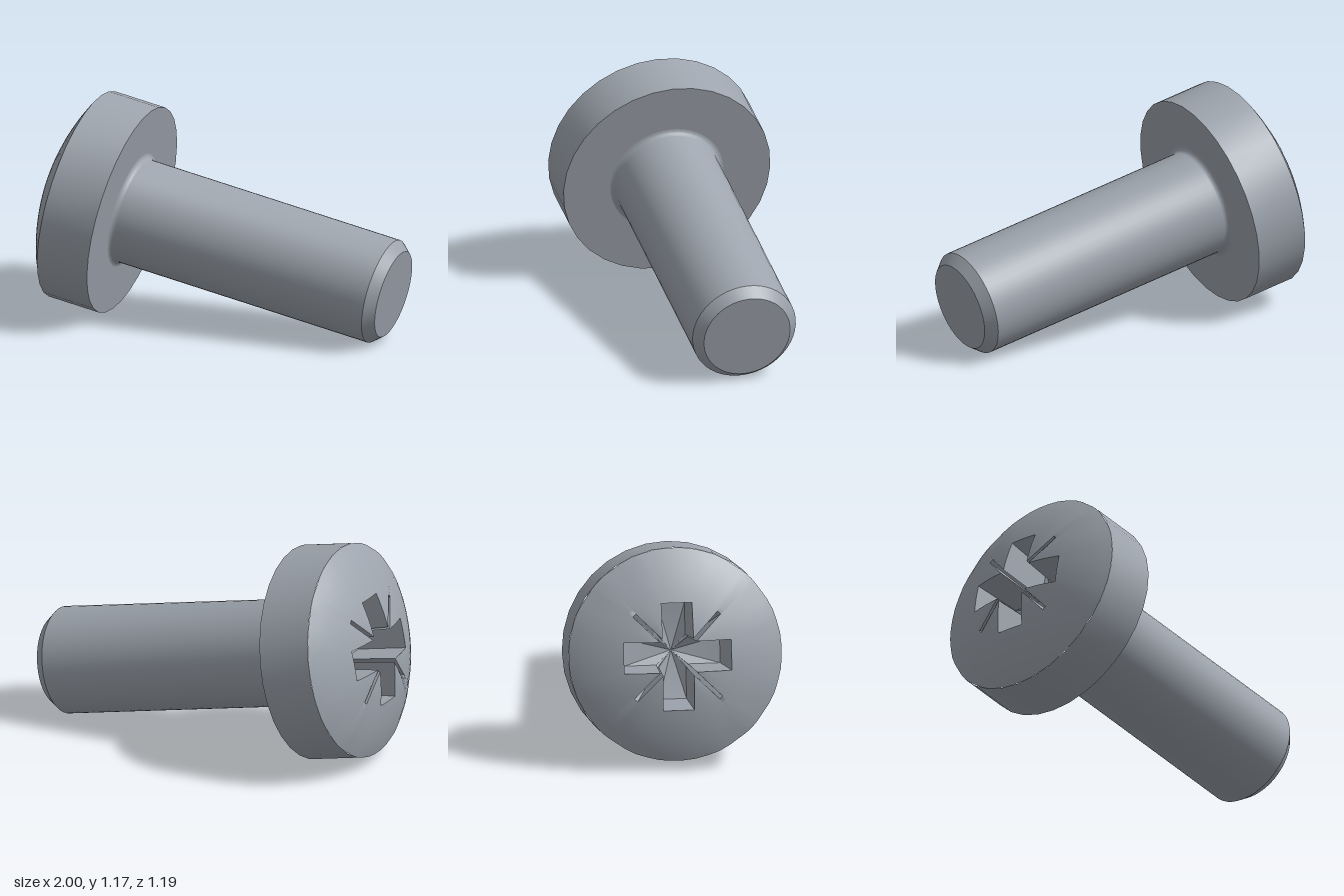
import * as THREE from 'three';
import { toCreasedNormals } from 'three/addons/utils/BufferGeometryUtils.js';

const steel = new THREE.MeshStandardMaterial({ color: 0x9da4ad });
steel.name = 'steel';

// Lengths along the screw's axis, from the tip (0) to the top of the head
const SHAFT_R = 0.284, HEAD_R = 0.569, HEAD_SIDES = 32;
const UNDER = 1.52, RIM = 1.81, DOME = 0.157, FLOOR = 1.66;
const DOME_R = (HEAD_R ** 2 + DOME ** 2) / (2 * DOME);
const domeZ = (r) => RIM + DOME - DOME_R + Math.sqrt(DOME_R ** 2 - r * r);

function mesh(name, geometry) {
  const m = new THREE.Mesh(geometry, steel);
  m.name = name;
  return m;
}

// Turned part: profile of [radius, position] pairs around z
function turned(profile, sides) {
  const g = new THREE.LatheGeometry(profile.map(([r, z]) => new THREE.Vector2(r, z)), sides);
  return toCreasedNormals(g.rotateX(Math.PI / 2), 0.6);
}

// Distance from the axis to the many-sided rim of the head at an angle
function rimRadius(angle) {
  const step = 2 * Math.PI / HEAD_SIDES;
  const a = (angle + 2 * Math.PI) % step - step / 2;
  return HEAD_R * Math.cos(step / 2) / Math.cos(a);
}

// Grid surface through rows of points, each row closed on itself
function loft(rows) {
  const n = rows[0].length, index = [];
  for (let j = 0; j < rows.length - 1; j++) {
    for (let i = 0; i < n; i++) {
      const a = j * n + i, b = j * n + (i + 1) % n;
      index.push(a, b, a + n, b, b + n, a + n);
    }
  }
  const g = new THREE.BufferGeometry();
  g.setAttribute('position', new THREE.Float32BufferAttribute(rows.flat(2), 3));
  g.setIndex(index);
  return g;
}

// Cross outline: four wings (half-width w, reach t) and four thin diagonal
// slits (half-width h, reach s), counter-clockwise, each edge subdivided
function crossOutline(w, t, s, h) {
  const k = Math.SQRT1_2, e = h * Math.SQRT2;
  const quarter = [
    [t, -w], [t, w], [w + e, w],
    [(s + h) * k, (s - h) * k], [(s - h) * k, (s + h) * k], [w, w + e],
  ];
  const corners = [];
  for (let q = 0; q < 4; q++) {
    const c = [1, 0, -1, 0][q], n = [0, 1, 0, -1][q];
    quarter.forEach(([x, y]) => corners.push([x * c - y * n, x * n + y * c]));
  }
  const steps = [5, 4, 1, 1, 1, 4];
  return corners.flatMap(([x, y], i) => {
    const [x2, y2] = corners[(i + 1) % corners.length], m = steps[i % 6];
    return Array.from({ length: m }, (_, j) => [x + (x2 - x) * j / m, y + (y2 - y) * j / m]);
  });
}

export function createModel() {
  const model = new THREE.Group();
  model.name = 'screw';
  const screw = new THREE.Group();
  screw.name = 'tiltedScrew';

  // Shaft with chamfered tip and a small fillet under the head
  const fillet = 0.028, shaft = [[0, 0], [0.237, 0], [SHAFT_R, 0.055]];
  for (let i = 0; i <= 4; i++) {
    const a = i / 4 * Math.PI / 2;
    shaft.push([SHAFT_R + fillet * (1 - Math.cos(a)), UNDER - fillet * (1 - Math.sin(a))]);
  }
  screw.add(mesh('shaft', turned(shaft, 48)));

  // Flat underside and straight side of the head
  const side = [[SHAFT_R, UNDER], [HEAD_R, UNDER], [HEAD_R, RIM]];
  screw.add(mesh('headSide', turned(side, HEAD_SIDES)));

  // Domed top, running from the rim in to the edge of the recess
  const opening = crossOutline(0.082, 0.286, 0.32, 0.011);
  const rows = [];
  for (let j = 0; j <= 8; j++) {
    rows.push(opening.map(([x, y]) => {
      const r0 = Math.hypot(x, y), rim = rimRadius(Math.atan2(y, x));
      const r = rim + (r0 - rim) * j / 8;
      return [x / r0 * r, y / r0 * r, j ? domeZ(r) : RIM];
    }));
  }
  const dome = loft(rows);
  dome.computeVertexNormals();
  screw.add(mesh('headDome', dome));

  // Recess walls taper to a smaller cross; the floor dips to its centre
  const bottom = crossOutline(0.072, 0.255, 0.135, 0.009);
  const recess = loft([
    rows[8],
    bottom.map(([x, y]) => [x, y, FLOOR]),
    bottom.map(() => [0, 0, FLOOR - 0.05]),
  ]);
  screw.add(mesh('driveRecess', toCreasedNormals(recess, 0.3)));

  // Lean the axis: local z points out of the head, local y stays upward
  const z = new THREE.Vector3(-1, 0.2, -0.213).normalize();
  const x = new THREE.Vector3(0, 1, 0).cross(z).normalize();
  const y = z.clone().cross(x);
  screw.quaternion.setFromRotationMatrix(new THREE.Matrix4().makeBasis(x, y, z));
  screw.position.set(0.934, 0.268, 0.331);
  model.add(screw);
  return model;
}
